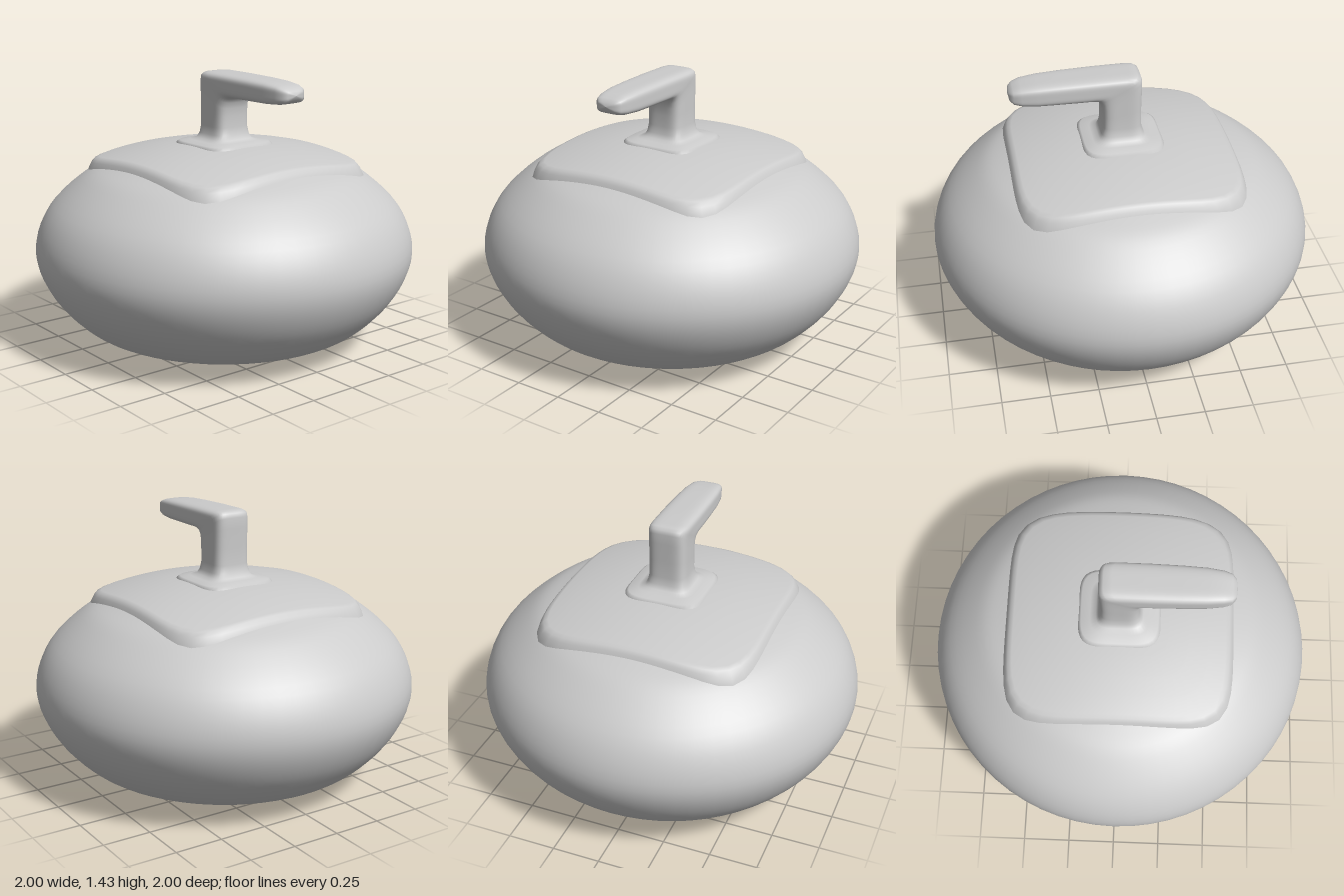
import * as THREE from 'three';

const SIDES = 64;
const material = new THREE.MeshStandardMaterial({ color: 0xcccccc });

// Unit rounded square: higher power gives tighter corners
function squircle(angle, power) {
  const c = Math.cos(angle), s = Math.sin(angle);
  const r = 1 / Math.pow(Math.abs(c) ** power + Math.abs(s) ** power, 1 / power);
  return [c * r, s * r];
}

// Skin a stack of closed rings; point(ring, angle) returns [x, y, z]
function loft(name, rings, point) {
  const positions = [], index = [];
  rings.forEach((ring, i) => {
    for (let j = 0; j < SIDES; j++) {
      positions.push(...point(ring, (j / SIDES) * Math.PI * 2));
      if (i === rings.length - 1) continue;
      const a = i * SIDES + j, b = i * SIDES + ((j + 1) % SIDES);
      index.push(a, a + SIDES, b, b, a + SIDES, b + SIDES);
    }
  });
  const geometry = new THREE.BufferGeometry();
  geometry.setAttribute('position', new THREE.Float32BufferAttribute(positions, 3));
  geometry.setIndex(index);
  geometry.computeVertexNormals();
  const mesh = new THREE.Mesh(geometry, material);
  mesh.name = name;
  return mesh;
}

function createBody() {
  // Squashed round stone, flattened underneath
  const curve = new THREE.SplineCurve([
    [0.4, 0.012], [0.6, 0.05], [0.77, 0.125], [0.93, 0.3], [1, 0.505], [0.93, 0.715],
    [0.75, 0.885], [0.6, 0.955], [0.4, 1.0], [0, 1.03],
  ].map(([x, y]) => new THREE.Vector2(x, y)));
  const profile = [new THREE.Vector2(0, 0.012), ...curve.getPoints(45)];
  profile[profile.length - 1].x = 0;
  const mesh = new THREE.Mesh(new THREE.LatheGeometry(profile, SIDES), material);
  mesh.name = 'stoneBody';
  return mesh;
}

function createTopPlate() {
  // Domed rounded-square plate: [half width, drop below the dome]
  const rings = [[0.605, 0.1], [0.59, 0.05], [0.575, 0.018], [0.56, 0.003], [0.54, 0],
    [0.45, 0], [0.35, 0], [0.25, 0], [0.12, 0], [0, 0]];
  return loft('topPlate', rings, ([half, drop], angle) => {
    const [u, v] = squircle(angle, 5.3);
    const x = u * half, z = v * half;
    return [x, 1.068 - 0.215 * (x * x + z * z) - drop, z];
  });
}

function createBasePad() {
  // Flat rounded-square foot: [half width, height]
  const rings = [[0, 0], [0.2, 0], [0.37, 0.002], [0.395, 0.008], [0.42, 0.035]];
  return loft('basePad', rings, ([half, y], angle) => {
    const [u, v] = squircle(angle, 5);
    return [u * half, y, v * half];
  });
}

function createHandle() {
  // Collar, post, bend and grip: [outer x, outer y, inner x, inner y, half depth]
  const rings = [
    [-0.21, 1.03, 0.21, 1.03, 0.21], [-0.21, 1.055, 0.21, 1.055, 0.21],
    [-0.195, 1.068, 0.195, 1.068, 0.195], [-0.15, 1.075, 0.15, 1.075, 0.15],
    [-0.12, 1.085, 0.12, 1.085, 0.12], [-0.107, 1.11, 0.107, 1.11, 0.107],
    [-0.1, 1.15, 0.1, 1.15, 0.1], [-0.1, 1.24, 0.1, 1.21, 0.1],
    [-0.103, 1.34, 0.102, 1.25, 0.1], [-0.104, 1.395, 0.11, 1.28, 0.1],
    [-0.098, 1.417, 0.122, 1.3, 0.102], [-0.08, 1.428, 0.14, 1.308, 0.103],
    [-0.04, 1.431, 0.17, 1.311, 0.103], [0.12, 1.43, 0.22, 1.311, 0.103],
    [0.3, 1.426, 0.31, 1.311, 0.1], [0.42, 1.421, 0.42, 1.311, 0.095],
    [0.5, 1.412, 0.5, 1.316, 0.085], [0.54, 1.4, 0.54, 1.325, 0.073],
    [0.56, 1.385, 0.56, 1.34, 0.05], [0.566, 1.363, 0.566, 1.363, 0],
  ];
  return loft('handle', rings, ([ox, oy, ix, iy, depth], angle) => {
    const [u, v] = squircle(angle, 4.5);
    return [(ox + ix) / 2 + (u * (ix - ox)) / 2, (oy + iy) / 2 + (u * (iy - oy)) / 2, v * depth];
  });
}

export function createModel() {
  const group = new THREE.Group();
  group.name = 'curlingStone';
  group.add(createBody(), createTopPlate(), createBasePad(), createHandle());
  return group;
}
